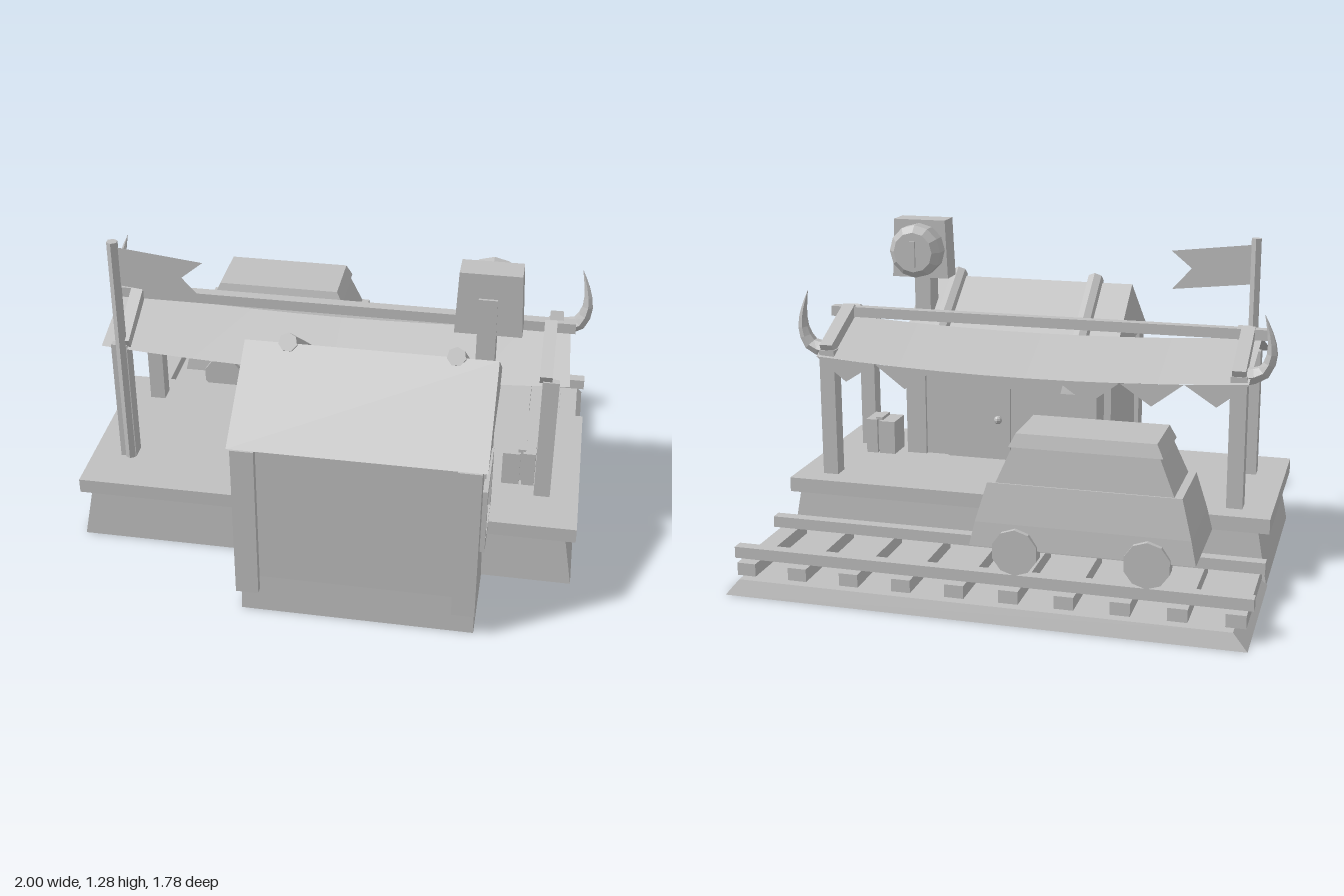
import * as THREE from 'three';

const stone = new THREE.MeshStandardMaterial({ color: 0xc0c0c0, side: THREE.DoubleSide, flatShading: true });
stone.name = 'plainGrey';

export function createModel() {
  const model = new THREE.Group();
  model.name = 'trainStation';

  const add = (name, geo) => {
    const m = new THREE.Mesh(geo, stone);
    m.name = name;
    model.add(m);
    return m;
  };
  // Box given by its limits
  const box = (name, x0, x1, y0, y1, z0, z1) => {
    const m = add(name, new THREE.BoxGeometry(x1 - x0, y1 - y0, z1 - z0));
    m.position.set((x0 + x1) / 2, (y0 + y1) / 2, (z0 + z1) / 2);
    return m;
  };
  // Stack of rectangles [y, x0, x1, z0, z1], optionally open below
  const stack = (name, rings, closed = true) => {
    const p = [];
    const corners = ([y, x0, x1, z0, z1]) => [[x0, y, z1], [x1, y, z1], [x1, y, z0], [x0, y, z0]];
    const quad = (a, b, c, d) => p.push(...a, ...b, ...c, ...a, ...c, ...d);
    for (let i = 0; i + 1 < rings.length; i++) {
      const a = corners(rings[i]), b = corners(rings[i + 1]);
      for (let k = 0; k < 4; k++) quad(a[k], a[(k + 1) % 4], b[(k + 1) % 4], b[k]);
    }
    quad(...corners(rings[rings.length - 1]));
    if (closed) quad(...corners(rings[0]).reverse());
    const g = new THREE.BufferGeometry();
    g.setAttribute('position', new THREE.Float32BufferAttribute(p, 3));
    g.computeVertexNormals();
    return add(name, g);
  };
  // Square or round bar between two points
  const bar = (name, a, b, r, sides) => {
    const va = new THREE.Vector3(...a), vb = new THREE.Vector3(...b);
    const g = new THREE.CylinderGeometry(r, r, va.distanceTo(vb), sides);
    if (sides === 4) g.rotateY(Math.PI / 4);
    const m = add(name, g);
    m.position.copy(va).add(vb).multiplyScalar(0.5);
    m.quaternion.setFromUnitVectors(new THREE.Vector3(0, 1, 0), vb.sub(va).normalize());
    return m;
  };

  // Platform
  stack('platformBase', [[0, -0.99, 0.985, -0.27, 0.52], [0.21, -0.95, 0.95, -0.255, 0.51]], false);
  box('platformSlab', -0.995, 0.99, 0.21, 0.27, -0.27, 0.525);

  // Track
  stack('trackBed', [[0, -0.995, 0.99, -0.89, -0.27], [0.06, -0.94, 0.94, -0.87, -0.29]], false);
  for (let i = 0; i < 10; i++) {
    const x = -0.944 + i * 0.208;
    box('tie', x - 0.037, x + 0.037, 0.06, 0.11, -0.83, -0.345);
  }
  for (const z of [-0.41, -0.763]) box('rail', -1, 0.995, 0.11, 0.155, z - 0.023, z + 0.023);

  // Mine cart with its heap
  const ring = (y, hx, hz) => [y, -0.37 - hx, -0.37 + hx, -0.585 - hz, -0.585 + hz];
  stack('cartBody', [ring(0.255, 0.42, 0.197), ring(0.345, 0.4, 0.185), ring(0.49, 0.36, 0.158),
    ring(0.49, 0.33, 0.152), ring(0.625, 0.272, 0.132)]);
  stack('cartTop', [ring(0.625, 0.285, 0.14), ring(0.675, 0.26, 0.126)]);
  for (const x of [-0.615, -0.125]) for (const z of [-0.4, -0.765]) {
    const w = add('wheel', new THREE.CylinderGeometry(0.088, 0.088, 0.055, 10));
    w.rotation.x = Math.PI / 2;
    w.position.set(x, 0.244, z);
  }

  // Hut
  stack('hutFoot', [[0, -0.257, 0.635, 0.2, 0.865], [0.16, -0.25, 0.63, 0.205, 0.86]], false);
  box('hutWalls', -0.25, 0.63, 0.16, 0.75, 0.205, 0.86);
  for (const x of [-0.27, 0.55]) {
    box('hutFrontPost', x, x + 0.087, 0.1, 0.75, 0.8, 0.89);
    box('hutBackPost', x, x + 0.087, 0.1, 0.75, 0.19, 0.28);
  }
  const gable = new THREE.Shape();
  gable.moveTo(-0.882, 0.75).lineTo(-0.18, 0.75).lineTo(-0.53, 1.0).closePath();
  const roof = add('hutRoof', new THREE.ExtrudeGeometry(gable, { depth: 0.94, bevelEnabled: false }));
  roof.rotation.y = Math.PI / 2;
  roof.position.x = -0.285;
  for (const x of [-0.12, 0.5]) bar('roofLog', [x, 1.013, 0.545], [x, 0.765, 0.195], 0.036, 7);

  // Side window, wall beam and door
  box('wallBeam', 0.62, 0.645, 0.67, 0.75, 0.28, 0.8);
  box('windowPane', 0.625, 0.636, 0.28, 0.49, 0.43, 0.65);
  for (const y of [0.245, 0.49]) box('windowFrame', 0.62, 0.65, y, y + 0.035, 0.395, 0.685);
  for (const z of [0.395, 0.65]) box('windowFrame', 0.62, 0.65, 0.245, 0.525, z, z + 0.035);
  box('door', 0.17, 0.45, 0.27, 0.67, 0.19, 0.206);
  const knob = add('doorKnob', new THREE.SphereGeometry(0.018, 8, 6));
  knob.position.set(0.22, 0.45, 0.178);

  // Goods on the platform
  box('cabinet', -0.24, -0.1, 0.27, 0.625, 0.05, 0.19);
  stack('cabinetTop', [[0.625, -0.25, -0.09, 0.037, 0.2], [0.675, -0.24, -0.1, 0.05, 0.19]]);
  box('crate', 0.68, 0.75, 0.27, 0.415, 0.145, 0.265);
  box('crate', 0.76, 0.81, 0.27, 0.42, 0.145, 0.265);
  box('crateMiddle', 0.74, 0.77, 0.28, 0.428, 0.16, 0.25);

  // Station clock
  box('clockPole', 0.56, 0.63, 0.78, 1.18, 0.31, 0.413);
  stack('clockCase', [[1.03, 0.475, 0.725, 0.297, 0.403], [1.28, 0.486, 0.714, 0.297, 0.403]]);
  const dial = add('clockDial', new THREE.LatheGeometry([[0, 0], [0.113, 0], [0.113, 0.065], [0.085, 0.095], [0, 0.095]]
    .map(([r, y]) => new THREE.Vector2(r, y)), 12));
  dial.rotation.x = -Math.PI / 2;
  dial.position.set(0.6, 1.153, 0.298);
  box('clockHand', 0.588, 0.612, 1.09, 1.2, 0.193, 0.205);

  // Shelter frame
  for (const s of [-1, 1]) {
    const x = s * 0.845;
    box('frontPost', x - 0.032, x + 0.032, 0.27, 0.8, 0.265, 0.33);
    box('backPost', x - 0.032, x + 0.032, 0.27, 0.8, -0.18, -0.113);
    bar('frontRafter', [s * 0.825, 0.805, 0.325], [s * 0.825, 0.92, 0.09], 0.034, 4);
    bar('backRafter', [x, 0.92, 0.09], [x, 0.8, -0.175], 0.038, 4);

    // Horn: tapered ring sweep along a curve
    const path = new THREE.CatmullRomCurve3([[0.86, 0.79, -0.125], [0.93, 0.81, -0.125], [0.962, 0.88, -0.13],
      [0.955, 0.96, -0.138], [0.932, 1.04, -0.145]].map(([a, b, c]) => new THREE.Vector3(s * a, b, c)));
    const horn = new THREE.TubeGeometry(path, 8, 0.037, 6);
    const p = horn.attributes.position, v = new THREE.Vector3();
    for (let i = 0; i < p.count; i++) {
      const t = Math.floor(i / 7) / 8, c = path.getPointAt(t);
      v.fromBufferAttribute(p, i).sub(c).multiplyScalar(1 - t * t * 0.4 - t * 0.58).add(c);
      p.setXYZ(i, v.x, v.y, v.z);
    }
    horn.computeVertexNormals();
    add('horn', horn);
  }
  bar('ridgeBeam', [-0.93, 0.913, 0.085], [0.92, 0.913, 0.085], 0.03, 4);

  // Sagging cloth roof
  const sag = x => 0.035 * (1 - (x / 0.9) ** 2);
  const cloth = new THREE.PlaneGeometry(1, 1, 10, 2);
  const cp = cloth.attributes.position;
  const rows = [[-0.19, 0.777, 0.885], [0.08, 0.9, 0.9], [0.33, 0.79, 0.915]];
  for (let i = 0; i < cp.count; i++) {
    const [z, y, half] = rows[Math.floor(i / 11)];
    const x = ((i % 11) / 5 - 1) * half;
    cp.setXYZ(i, x, y - sag(x), z);
  }
  // Row order runs back to front, so the faces look up
  cloth.computeVertexNormals();
  add('clothRoof', cloth);

  // Bunting along the track edge
  for (let i = 0; i < 7; i++) {
    const x0 = -0.89 + i * 0.254, x1 = x0 + 0.254, xm = (x0 + x1) / 2;
    const t = new THREE.Shape();
    t.moveTo(x0, 0.775 - sag(x0)).lineTo(xm, 0.685 - sag(xm)).lineTo(x1, 0.775 - sag(x1)).closePath();
    add('buntingFlag', new THREE.ShapeGeometry(t)).position.z = -0.185;
  }

  // Flag
  bar('flagPole', [-0.836, 0.27, 0.325], [-0.836, 1.255, 0.325], 0.022, 6);
  const flag = new THREE.Shape();
  flag.moveTo(-0.82, 1.228).lineTo(-0.49, 1.19).lineTo(-0.575, 1.12).lineTo(-0.495, 1.03).lineTo(-0.82, 1.065).closePath();
  add('flag', new THREE.ShapeGeometry(flag)).position.z = 0.32;

  return model;
}
